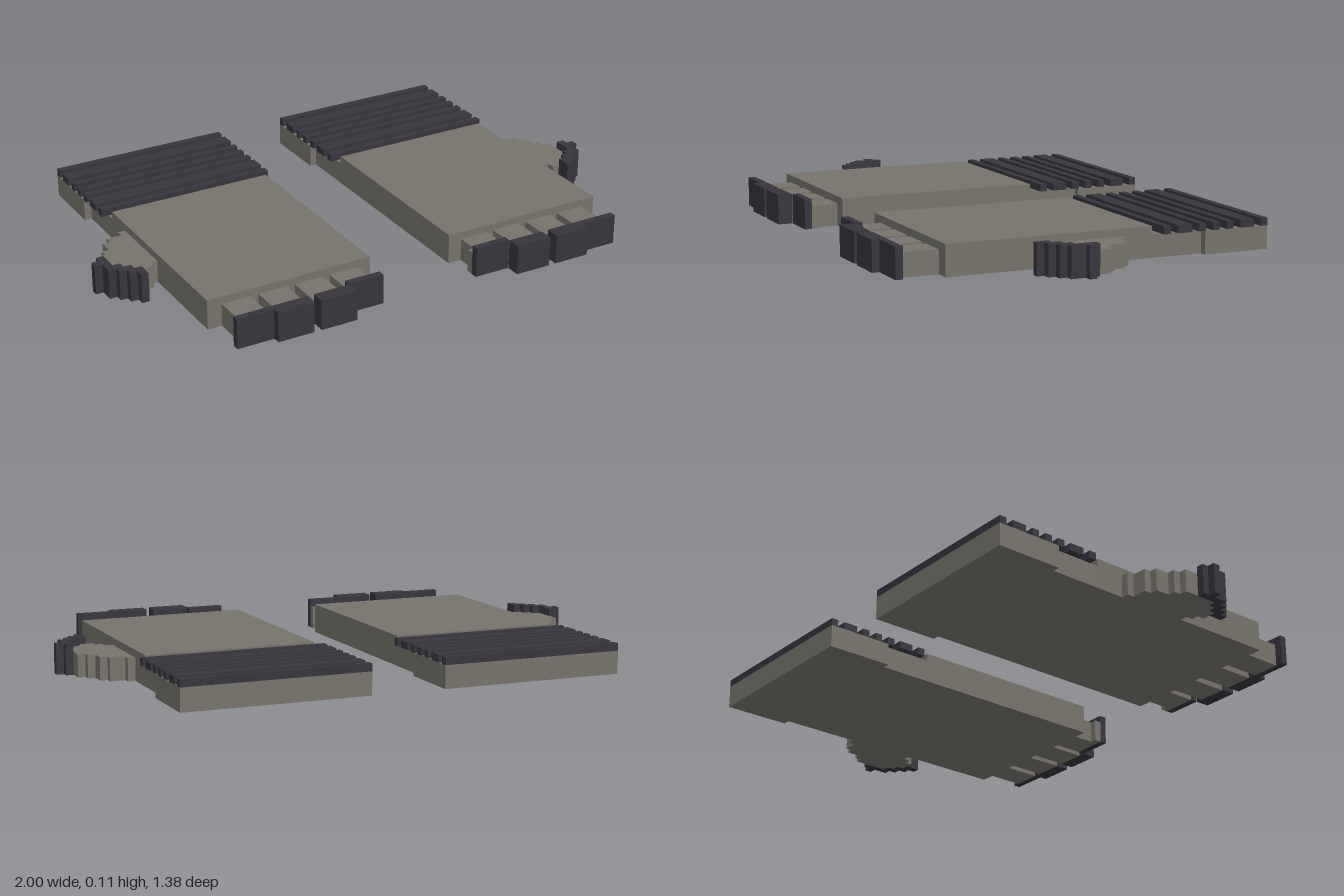
import * as THREE from 'three';

const LOW = 0.082; // height of cuff, fingers and thumb
const HIGH = 0.109; // height of palm, tips and ridges

export function createModel() {
  const fabric = new THREE.MeshStandardMaterial({ color: 0x76736b });
  fabric.name = 'warm grey';
  const trim = new THREE.MeshStandardMaterial({ color: 0x37343d });
  trim.name = 'dark trim';

  // One glove; side mirrors it across x = 0
  function makeGlove(side) {
    const glove = new THREE.Group();
    glove.name = side > 0 ? 'leftGlove' : 'rightGlove';

    // Block given by its limits, x measured outwards from the middle
    const block = (name, mat, x0, x1, z0, z1, y0, y1) => {
      const mesh = new THREE.Mesh(new THREE.BoxGeometry(x1 - x0, y1 - y0, z1 - z0), mat);
      mesh.position.set(side * (x0 + x1) / 2, (y0 + y1) / 2, (z0 + z1) / 2);
      mesh.name = name;
      glove.add(mesh);
    };

    // Palm, wrist and wide cuff
    block('palm', fabric, 0.16, 0.78, -0.255, 0.498, 0, HIGH);
    block('wrist', fabric, 0.16, 0.78, -0.445, -0.255, 0, LOW);
    block('cuff', fabric, 0.135, 0.807, -0.69, -0.445, 0, LOW);

    // Raised ridges across the cuff
    const ridges = [
      [-0.69, -0.664], [-0.637, -0.583], [-0.556, -0.529], [-0.502, -0.475],
      [-0.448, -0.421], [-0.395, -0.34], [-0.313, -0.286],
    ];
    for (const [z0, z1] of ridges) block('cuffRidge', trim, 0.135, 0.807, z0, z1, LOW, HIGH);

    // Fingers: x0, x1, end z, then tip x0, x1, end z
    const fingers = [
      [0.211, 0.319, 0.605, 0.187, 0.321, 0.632],
      [0.345, 0.453, 0.634, 0.321, 0.456, 0.687],
      [0.483, 0.59, 0.634, 0.483, 0.618, 0.687],
      [0.62, 0.727, 0.634, 0.618, 0.754, 0.66],
    ];
    for (const [x0, x1, z, t0, t1, tz] of fingers) {
      block('finger', fabric, x0, x1, 0.498, z, 0, LOW);
      block('fingertip', trim, t0, t1, z, tz, 0, HIGH);
    }
    block('fingerStep', fabric, 0.187, 0.211, 0.578, 0.605, 0, LOW);

    // Stepped thumb, one column at a time: back z, end of fabric, end of tip
    const columns = [
      [-0.148, 0.118, 0.118],
      [-0.121, 0.145, 0.145],
      [-0.121, 0.172, 0.172],
      [-0.094, 0.172, 0.226],
      [-0.04, 0.145, 0.199],
      [-0.013, 0.118, 0.172],
      [0.041, 0.041, 0.145],
      [0.065, 0.065, 0.092],
    ];
    const step = 0.22 / columns.length;
    columns.forEach(([z0, z1, z2], i) => {
      const x0 = 0.78 + i * step;
      if (z1 > z0) block('thumb', fabric, x0, x0 + step, z0, z1, 0, LOW);
      if (z2 > z1) block('thumbTip', trim, x0, x0 + step, z1, z2, 0, HIGH);
    });
    return glove;
  }

  const model = new THREE.Group();
  model.name = 'gloves';
  model.add(makeGlove(1), makeGlove(-1));
  return model;
}
